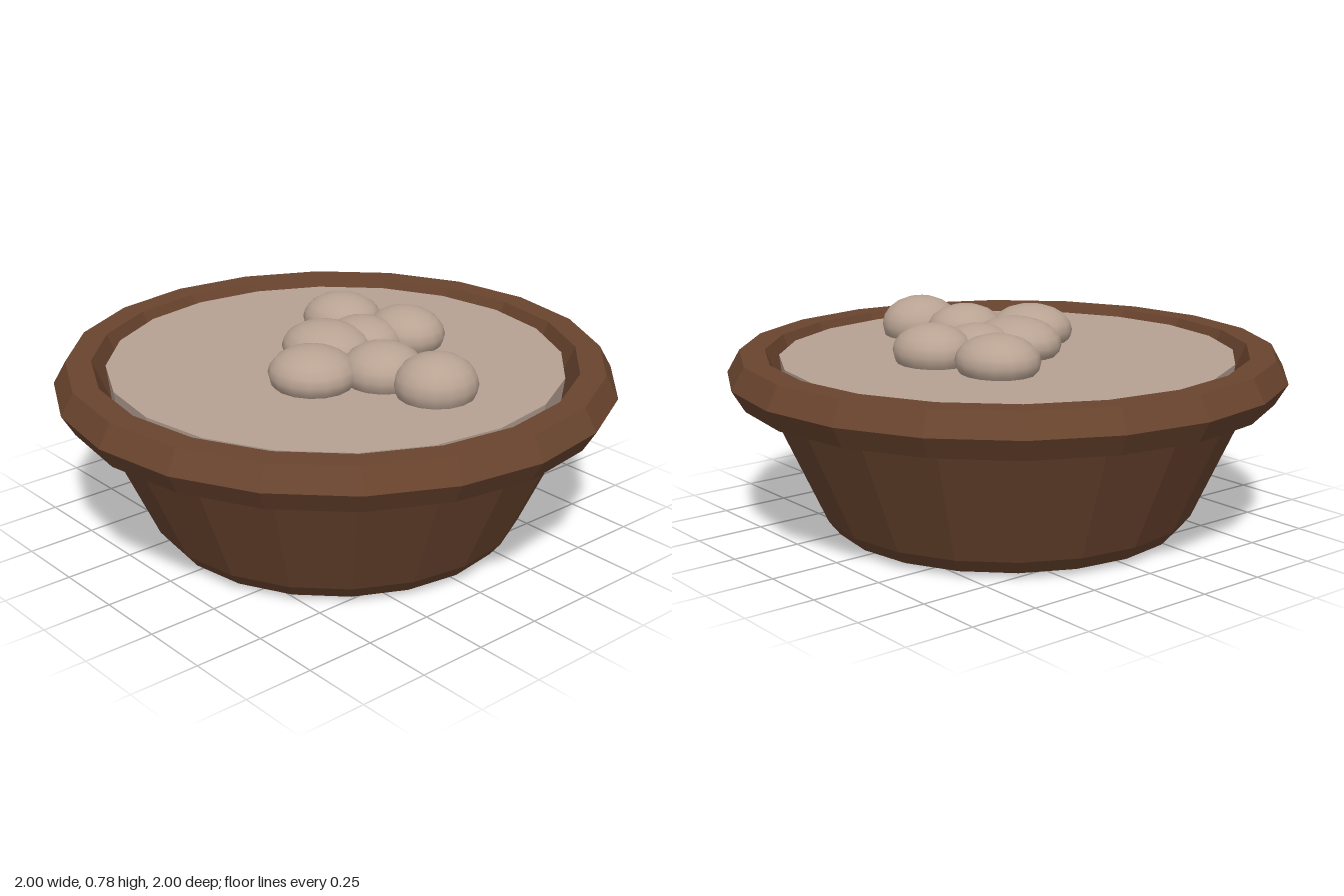
import * as THREE from 'three';

const SIDES = 20;

function lathe(name, profile, material) {
  const points = profile.map(([r, y]) => new THREE.Vector2(r, y));
  const mesh = new THREE.Mesh(new THREE.LatheGeometry(points, SIDES), material);
  mesh.name = name;
  return mesh;
}

export function createModel() {
  const model = new THREE.Group();
  model.name = 'bowl';

  const wood = new THREE.MeshStandardMaterial({ color: 0x69442e });
  wood.name = 'dark wood';
  wood.flatShading = true;
  const meal = new THREE.MeshStandardMaterial({ color: 0xb6a192 });
  meal.name = 'pale filling';
  meal.flatShading = true;
  const lump = new THREE.MeshStandardMaterial({ color: 0xb9a393 });
  lump.name = 'pale lumps';

  // Faceted bowl wall with a chamfered foot
  model.add(lathe('bowlBody', [
    [0, 0], [0.57, 0], [0.635, 0.02], [0.675, 0.07], [0.87, 0.5],
  ], wood));

  // Overhanging rim with a pointed outer edge and a sloping inner wall
  model.add(lathe('rim', [
    [0.86, 0.495], [0.955, 0.495], [1, 0.57], [0.955, 0.65], [0.865, 0.65], [0.8, 0.5],
  ], wood));

  // Filling: a flat drum just below the rim
  model.add(lathe('filling', [[0.8, 0.5], [0.815, 0.63], [0, 0.63]], meal));

  // Smooth flattened lumps: x, z, half width, half depth, top height
  const lumps = [
    [-0.235, -0.235, 0.155, 0.142, 0.762],
    [0.035, -0.305, 0.152, 0.137, 0.766],
    [-0.008, -0.14, 0.148, 0.13, 0.752],
    [-0.03, 0.015, 0.176, 0.152, 0.762],
    [0.262, 0.012, 0.146, 0.144, 0.768],
    [0.473, -0.038, 0.143, 0.147, 0.776],
    [0.128, 0.215, 0.157, 0.153, 0.763],
  ];
  const ball = new THREE.SphereGeometry(1, 16, 10);
  const group = new THREE.Group();
  group.name = 'lumps';
  lumps.forEach(([x, z, w, d, top], i) => {
    const mesh = new THREE.Mesh(ball, lump);
    mesh.name = `lump${i + 1}`;
    mesh.position.set(x, 0.67, z);
    mesh.scale.set(w, top - 0.67, d);
    group.add(mesh);
  });
  model.add(group);

  return model;
}
